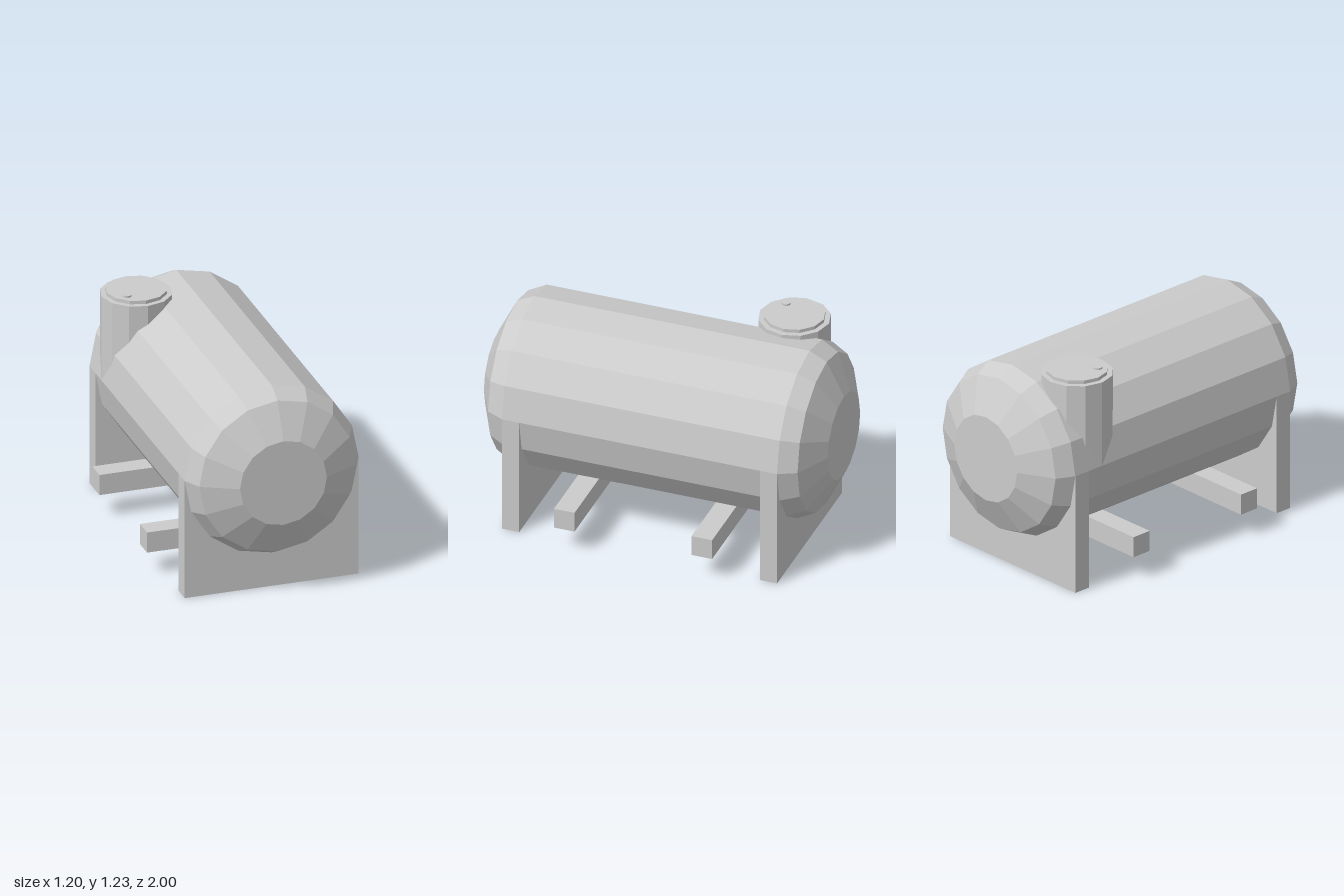
import * as THREE from 'three';

const material = new THREE.MeshStandardMaterial({ color: 0xcccccc, flatShading: true });

export function createModel() {
  const model = new THREE.Group();
  model.name = 'storageTank';

  function add(name, geometry, x, y, z) {
    const mesh = new THREE.Mesh(geometry, material);
    mesh.name = name;
    mesh.position.set(x, y, z);
    model.add(mesh);
    return mesh;
  }

  // Upright 12-sided disc or drum between two heights
  function drum(name, radius, bottom, top, x, z) {
    const geometry = new THREE.CylinderGeometry(radius, radius, top - bottom, 12);
    add(name, geometry, x, (bottom + top) / 2, z);
  }

  // Horizontal 16-sided tank with two-step bevelled ends
  const profile = [
    [0, -1], [0.25, -1], [0.45, -0.9], [0.5, -0.8],
    [0.5, 0.8], [0.45, 0.9], [0.25, 1], [0, 1],
  ].map(([r, y]) => new THREE.Vector2(r, y));
  const tank = new THREE.LatheGeometry(profile, 16).rotateX(Math.PI / 2);
  add('tank', tank, 0, 0.7, 0);

  // Support plates and cross beams, front and back
  for (const [side, s] of [['front', 1], ['back', -1]]) {
    add(side + 'Support', new THREE.BoxGeometry(1, 0.7, 0.1), 0, 0.35, s * 0.75);
    add(side + 'Beam', new THREE.BoxGeometry(1.2, 0.12, 0.12), 0, 0.2, s * 0.4);
  }

  // Manhole with lid and small vent cap
  drum('manhole', 0.2, 0.7, 1.2, -0.3, -0.6);
  drum('manholeLid', 0.17, 1.2, 1.22, -0.3, -0.6);
  drum('ventCap', 0.025, 1.22, 1.23, -0.38, -0.52);

  return model;
}
